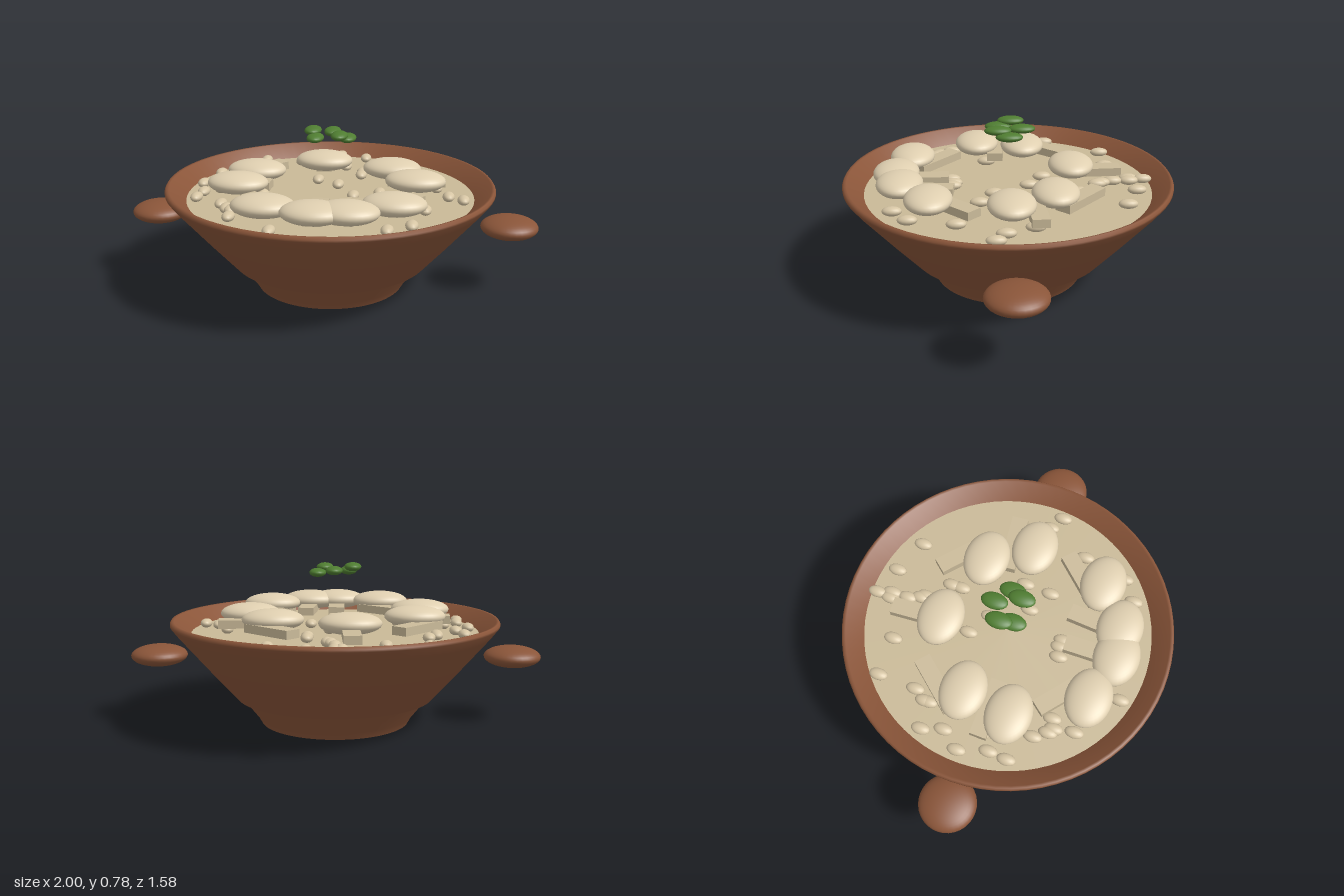
import * as THREE from 'three';

const flat = (name, color) => {
  const m = new THREE.MeshStandardMaterial({ color });
  m.name = name;
  return m;
};
const clay = flat('clay brown', 0x8a5539);
const broth = flat('broth beige', 0xc9b997);
const cream = flat('dumpling cream', 0xdfcfb0);
const strip = flat('strip beige', 0xcbbb9a);
const grain = flat('bean cream', 0xd6c5a4);
const green = flat('herb green', 0x4f7d31);

export function createModel() {
  const model = new THREE.Group();
  const add = (name, geometry, material, x, y, z) => {
    const mesh = new THREE.Mesh(geometry, material);
    mesh.name = name;
    mesh.position.set(x, y, z);
    model.add(mesh);
    return mesh;
  };
  const ellipsoid = (rx, ry, rz, w = 24, h = 16) =>
    new THREE.SphereGeometry(1, w, h).scale(rx, ry, rz);

  // Bowl: repeated points keep an edge crisp
  const profile = [
    [0, 0], [0.36, 0], [0.36, 0], [0.38, 0.035], [0.455, 0.13], [0.455, 0.13],
    [0.48, 0.13], [0.48, 0.13], [0.60, 0.265], [0.755, 0.445], [0.79, 0.49],
    [0.79, 0.5], [0.782, 0.512], [0.77, 0.51], [0.69, 0.445], [0.66, 0.41],
  ].map(([r, y]) => new THREE.Vector2(r, y));
  add('bowl', new THREE.LatheGeometry(profile, 72), clay, 0, 0, 0);

  // Flattened side handles
  const handle = ellipsoid(0.137, 0.052, 0.137, 32, 20);
  for (const side of [1, -1]) {
    add(side > 0 ? 'leftHandle' : 'rightHandle', handle, clay, side * 0.863, 0.32, 0);
  }

  // Stew surface
  add('stew', new THREE.CircleGeometry(0.692, 72).rotateX(-Math.PI / 2), broth, 0, 0.447, 0);

  // Dumplings in a ring
  const dumpling = ellipsoid(0.145, 0.05, 0.11, 32, 20);
  [[-0.075, -0.31], [0.283, -0.205], [0.41, 0], [0.337, 0.37], [0.144, 0.51],
    [0, 0.535], [-0.23, 0.47], [-0.42, 0.147], [-0.38, -0.087],
  ].forEach(([x, z]) => add('dumpling', dumpling, cream, x, 0.53, z));

  // Cut strips tucked under the dumplings: x, z, turn
  const cut = new THREE.BoxGeometry(0.28, 0.04, 0.08);
  [[-0.08, -0.415, 1.62], [0.28, -0.32, -0.73], [0.41, -0.11, 0.08],
    [0.34, 0.265, 0.8], [0.145, 0.4, 1.48], [0, 0.425, Math.PI / 2],
    [-0.24, 0.35, -0.7], [-0.42, 0.05, -0.04], [-0.385, -0.22, 0.85],
  ].forEach(([x, z, turn]) => {
    add('cutStrip', cut, strip, x, 0.497, z).rotation.y = turn;
  });

  // Scattered beans
  const bean = ellipsoid(0.029, 0.022, 0.046, 16, 10);
  [[-0.03, -0.66], [0.11, -0.61], [0.28, -0.54], [-0.42, -0.5], [-0.23, -0.5],
    [-0.01, -0.59], [-0.04, -0.59], [-0.43, -0.31], [-0.47, -0.25], [-0.6, -0.22],
    [-0.57, -0.12], [-0.64, -0.03], [-0.6, 0.11], [-0.61, 0.2], [0.12, -0.33],
    [0.12, -0.28], [-0.085, -0.17], [0.24, 0.01], [0.23, 0.14], [0.12, 0.07],
    [0.57, 0.03], [0.64, 0.075], [0.47, 0.245], [0.32, 0.535], [0.42, 0.46],
    [-0.175, 0.61], [-0.39, 0.455], [-0.47, 0.28], [-0.43, 0.34], [-0.405, 0.36],
    [-0.36, 0.34], [-0.065, 0.275], [-0.015, 0.265], [0.02, 0.27], [0.025, -0.1],
    [0.01, -0.45], [0.025, -0.43], [-0.01, -0.51], [-0.31, 0.1], [-0.47, -0.23],
    [-0.53, 0.05], [0.51, -0.1],
  ].forEach(([x, z]) => add('bean', bean, grain, x, 0.467, z));

  // Herb leaves hovering over the middle
  const leaf = ellipsoid(0.041, 0.021, 0.064, 20, 12);
  [[-0.085, 0.757, -0.015], [-0.065, 0.735, 0.045], [0.003, 0.743, -0.065],
    [0.05, 0.75, 0.05], [0.083, 0.728, -0.003],
  ].forEach(([x, y, z]) => add('herbLeaf', leaf, green, x, y, z));

  return model;
}
